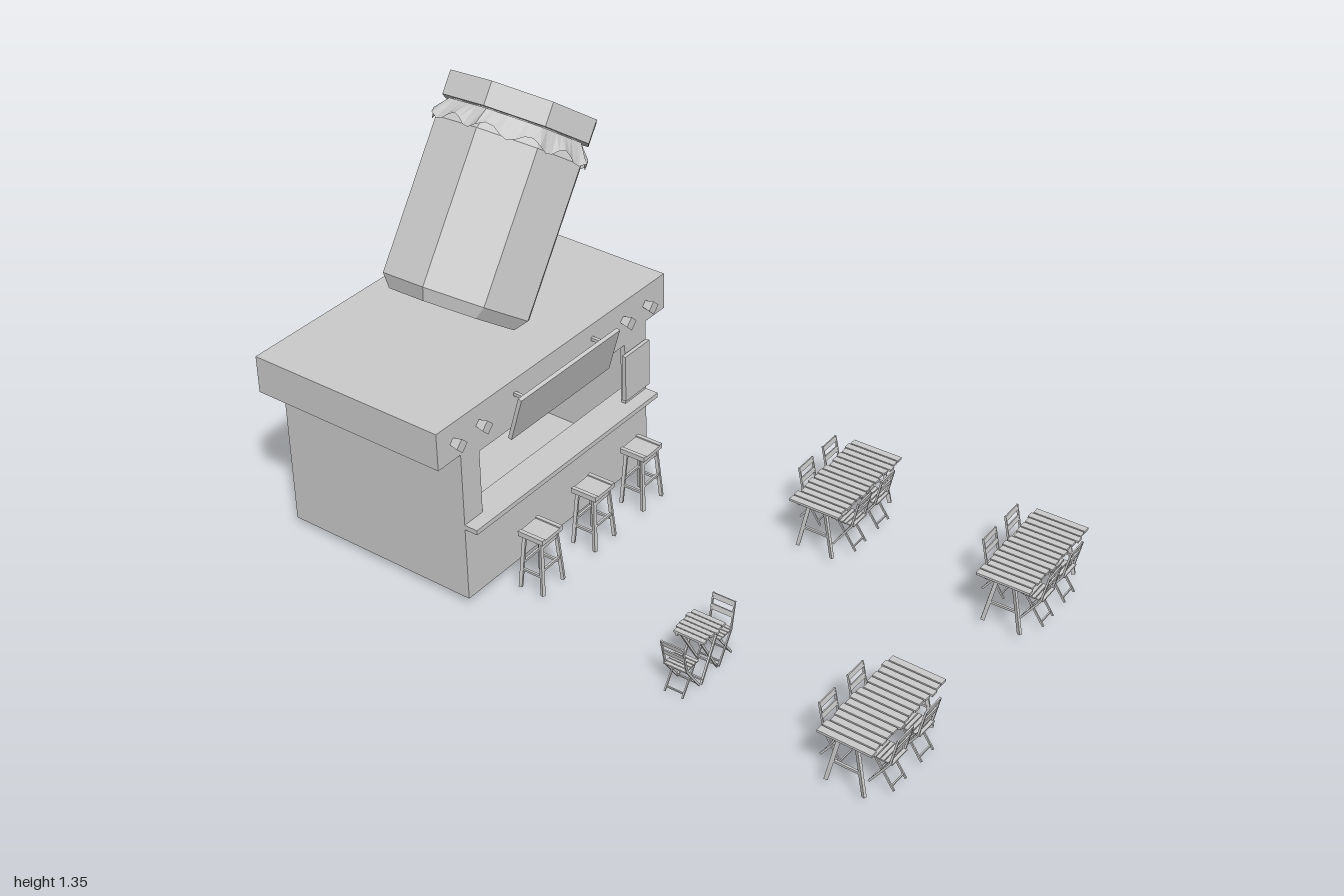
import * as THREE from 'three';

const mat = new THREE.MeshStandardMaterial({ color: 0xcccccc, flatShading: true, side: THREE.DoubleSide });

function add(parent, name, geo, x = 0, y = 0, z = 0) {
  const m = new THREE.Mesh(geo, mat);
  m.name = name;
  m.position.set(x, y, z);
  parent.add(m);
  return m;
}
// Box given by its min and max corners
function block(parent, name, [x0, y0, z0], [x1, y1, z1]) {
  return add(parent, name, new THREE.BoxGeometry(x1 - x0, y1 - y0, z1 - z0),
    (x0 + x1) / 2, (y0 + y1) / 2, (z0 + z1) / 2);
}
// Square bar between two points
function bar(parent, name, a, b, w, d = w) {
  const p = new THREE.Vector3(...a), q = new THREE.Vector3(...b);
  const m = add(parent, name, new THREE.BoxGeometry(w, p.distanceTo(q), d));
  m.position.copy(p).lerp(q, 0.5);
  m.quaternion.setFromUnitVectors(new THREE.Vector3(0, 1, 0), q.sub(p).normalize());
  return m;
}
function group(parent, name, x, y, z, ry = 0) {
  const g = new THREE.Group();
  g.name = name;
  g.position.set(x, y, z);
  g.rotation.y = ry;
  parent.add(g);
  return g;
}

function buildStall(root) {
  const s = group(root, 'stall', -0.67, 0, 0.065, -0.02);
  // Front wall and fascia in one T-shaped sheet with a serving hatch (shape x = -z)
  const front = new THREE.Shape([[-0.41, 0.02], [0.41, 0.02], [0.41, 0.5], [0.5, 0.5], [0.5, 0.615],
    [-0.5, 0.615], [-0.5, 0.5], [-0.41, 0.5]].map(p => new THREE.Vector2(...p)));
  front.holes.push(new THREE.Path([[-0.335, 0.27], [-0.335, 0.47], [0.31, 0.47], [0.31, 0.27]]
    .map(p => new THREE.Vector2(...p))));
  const fg = new THREE.ExtrudeGeometry(front, { depth: 0.015, bevelEnabled: false });
  add(s, 'frontWall', fg.rotateY(Math.PI / 2), 0.305, 0, 0);
  // Walls, recessed floor and hollow roof
  block(s, 'backWall', [-0.32, 0.02, -0.41], [-0.305, 0.6, 0.41]);
  for (const k of [-1, 1]) {
    add(s, 'sideWall', new THREE.BoxGeometry(0.61, 0.58, 0.015), 0, 0.31, k * 0.4025);
    add(s, 'sideFascia', new THREE.BoxGeometry(0.61, 0.115, 0.015), 0, 0.5575, k * 0.4925);
    add(s, 'backFascia', new THREE.BoxGeometry(0.015, 0.115, 0.09), -0.3125, 0.5575, k * 0.455);
  }
  block(s, 'floor', [-0.305, 0.04, -0.395], [0.305, 0.05, 0.395]);
  block(s, 'roof', [-0.32, 0.6, -0.5], [0.32, 0.615, 0.5]);
  // Counter, menu board and tilted sign
  block(s, 'counter', [0.26, 0.255, -0.41], [0.362, 0.27, 0.41]);
  block(s, 'menuBoard', [0.325, 0.295, -0.405], [0.337, 0.445, -0.29]);
  const sign = add(s, 'sign', new THREE.BoxGeometry(0.012, 0.147, 0.435), 0.358, 0.528, 0.012);
  sign.rotation.z = -0.28;
  for (const z of [-0.16, 0.18]) bar(s, 'signBracket', [0.31, 0.57, z], [0.365, 0.57, z], 0.01);
  // Four-sided lamps on the fascia
  for (const z of [-0.41, -0.305, 0.33, 0.435]) {
    const lamp = add(s, 'lamp', new THREE.CylinderGeometry(0.022, 0.014, 0.03, 4), 0.335, 0.555, z);
    lamp.rotation.z = -Math.PI / 2;
  }
  // Side door with frame and handle
  block(s, 'door', [-0.09, 0.022, -0.413], [0.08, 0.37, -0.409]);
  block(s, 'doorPanel', [-0.083, 0.03, -0.415], [0.073, 0.363, -0.412]);
  bar(s, 'doorHandle', [0.055, 0.22, -0.425], [0.055, 0.27, -0.425], 0.008);
  bar(s, 'doorHandleStem', [0.055, 0.245, -0.425], [0.055, 0.245, -0.412], 0.008);
}

function buildJar(root) {
  const jar = group(root, 'jar', -0.592, 0.759, 0.186);
  jar.rotation.set(-0.63, 0, 0.015);
  const turn = THREE.MathUtils.degToRad(9);
  const lathe = (name, pts) => add(jar, name,
    new THREE.LatheGeometry(pts.map(p => new THREE.Vector2(...p)), 8, turn));
  lathe('jarBody', [[0, -0.035], [0.19, -0.035], [0.22, 0], [0.22, 0.44], [0.19, 0.475], [0.19, 0.51]]);
  lathe('jarLid', [[0, 0.5], [0.222, 0.5], [0.222, 0.568], [0.13, 0.568], [0.116, 0.558], [0, 0.558]]);
  // Wavy cloth skirt hanging below the lid, following the octagon
  const n = 64;
  const skirt = new THREE.CylinderGeometry(0.2, 0.235, 0.05, n, 1, true, turn);
  const p = skirt.attributes.position;
  for (let i = 0; i < p.count; i++) {
    const a = Math.atan2(p.getX(i), p.getZ(i)) - turn;
    const step = Math.PI / 4;
    const local = a - step * (Math.floor(a / step) + 0.5);
    const k = Math.cos(step / 2) / Math.cos(local);
    const wave = p.getY(i) < 0 ? 0.014 * Math.sin(a * 12) : 0;
    p.setXYZ(i, p.getX(i) * k, p.getY(i) + wave, p.getZ(i) * k);
  }
  skirt.computeVertexNormals();
  add(jar, 'clothSkirt', skirt, 0, 0.472, 0);
}

function buildStool(root, z) {
  const g = group(root, 'stool', -0.238, 0.02, z);
  add(g, 'stoolSeat', new THREE.BoxGeometry(0.084, 0.012, 0.09), 0, 0.176, 0);
  for (const k of [-1, 1]) {
    add(g, 'seatEdge', new THREE.BoxGeometry(0.084, 0.006, 0.012), 0, 0.183, k * 0.039);
    for (const j of [-1, 1])
      bar(g, 'stoolLeg', [j * 0.028, 0.172, k * 0.033], [j * 0.038, 0, k * 0.046], 0.01);
    bar(g, 'sideRung', [-0.035, 0.06, k * 0.042], [0.035, 0.06, k * 0.042], 0.007);
    bar(g, 'crossRung', [k * 0.034, 0.08, -0.04], [k * 0.034, 0.08, 0.04], 0.007);
    bar(g, 'upperRung', [k * 0.03, 0.155, -0.034], [k * 0.03, 0.155, 0.034], 0.007, 0.012);
  }
}

// Folding chair facing +x
function buildChair(parent, x, z, ry) {
  const g = group(parent, 'chair', x, 0, z, ry);
  for (const k of [-1, 1]) {
    bar(g, 'backLeg', [-0.04, 0.17, k * 0.034], [-0.022, 0.085, k * 0.034], 0.006, 0.004);
    bar(g, 'backLeg', [-0.022, 0.085, k * 0.034], [0.036, 0, k * 0.034], 0.006, 0.004);
    bar(g, 'frontLeg', [0.026, 0.085, k * 0.028], [-0.034, 0, k * 0.028], 0.006, 0.004);
  }
  for (let i = 0; i < 5; i++)
    add(g, 'seatSlat', new THREE.BoxGeometry(0.01, 0.004, 0.07), -0.024 + i * 0.0125, 0.087, 0);
  for (const [bx, by] of [[-0.038, 0.162], [-0.031, 0.13]]) {
    const slat = add(g, 'backSlat', new THREE.BoxGeometry(0.004, 0.016, 0.07), bx, by, 0);
    slat.rotation.z = 0.21;
  }
  bar(g, 'rearRung', [-0.026, 0.011, -0.028], [-0.026, 0.011, 0.028], 0.004);
  bar(g, 'frontRung', [0.028, 0.012, -0.034], [0.028, 0.012, 0.034], 0.004);
}

// Row of planks with slightly uneven ends
function planks(g, count, length, depth, y) {
  const pitch = depth / count;
  for (let i = 0; i < count; i++) {
    const j = Math.sin(i * 7.3) * 0.005;
    add(g, 'plank', new THREE.BoxGeometry(length + j, 0.007, pitch * 0.84),
      Math.sin(i * 4.1) * 0.003, y, (i + 0.5) * pitch - depth / 2);
  }
}

function buildLongTable(root, x, z, ry, left, right) {
  const g = group(root, 'longTable', x, 0.02, z, ry);
  planks(g, 14, 0.157, 0.355, 0.155);
  for (const k of [-1, 1]) {
    bar(g, 'tableRail', [k * 0.055, 0.146, -0.165], [k * 0.055, 0.146, 0.165], 0.008, 0.01);
    bar(g, 'trestleTop', [-0.06, 0.142, k * 0.155], [0.06, 0.142, k * 0.155], 0.009);
    bar(g, 'trestleBar', [-0.042, 0.065, k * 0.155], [0.042, 0.065, k * 0.155], 0.007);
    for (const j of [-1, 1])
      bar(g, 'trestleLeg', [j * 0.026, 0.145, k * 0.155], [j * 0.056, 0, k * 0.16], 0.011, 0.008);
  }
  for (const cz of left.z) buildChair(g, left.x, cz, 0);
  for (const cz of right.z) buildChair(g, right.x, cz, Math.PI);
}

function buildSmallTable(root) {
  const g = group(root, 'smallTable', 0.315, 0, 0.356);
  planks(g, 6, 0.1, 0.105, 0.148);
  for (const k of [-1, 1]) {
    bar(g, 'tableRail', [k * 0.036, 0.14, -0.05], [k * 0.036, 0.14, 0.05], 0.006, 0.008);
    bar(g, 'crossedLeg', [k * 0.036, 0.14, -0.04], [k * 0.036, 0, 0.042], 0.006);
    bar(g, 'crossedLeg', [k * 0.03, 0.14, 0.04], [k * 0.03, 0, -0.042], 0.006);
    bar(g, 'tableRung', [-0.036, 0.012, k * 0.036], [0.036, 0.012, k * 0.036], 0.005);
  }
  buildChair(g, 0, -0.08, -Math.PI / 2);
  buildChair(g, 0, 0.083, Math.PI / 2);
}

export function createModel() {
  const root = new THREE.Group();
  root.name = 'jarStall';
  buildStall(root);
  buildJar(root);
  for (const z of [-0.165, 0.068, 0.31]) buildStool(root, z);
  for (const x of [0.308, 0.897])
    buildLongTable(root, x, -0.397, 0, { x: -0.087, z: [-0.113, 0.014] }, { x: 0.06, z: [-0.06, 0.067] });
  buildLongTable(root, 0.88, 0.378, -0.03, { x: -0.083, z: [-0.066, 0.064] }, { x: 0.07, z: [-0.06, 0.07] });
  buildSmallTable(root);
  return root;
}
